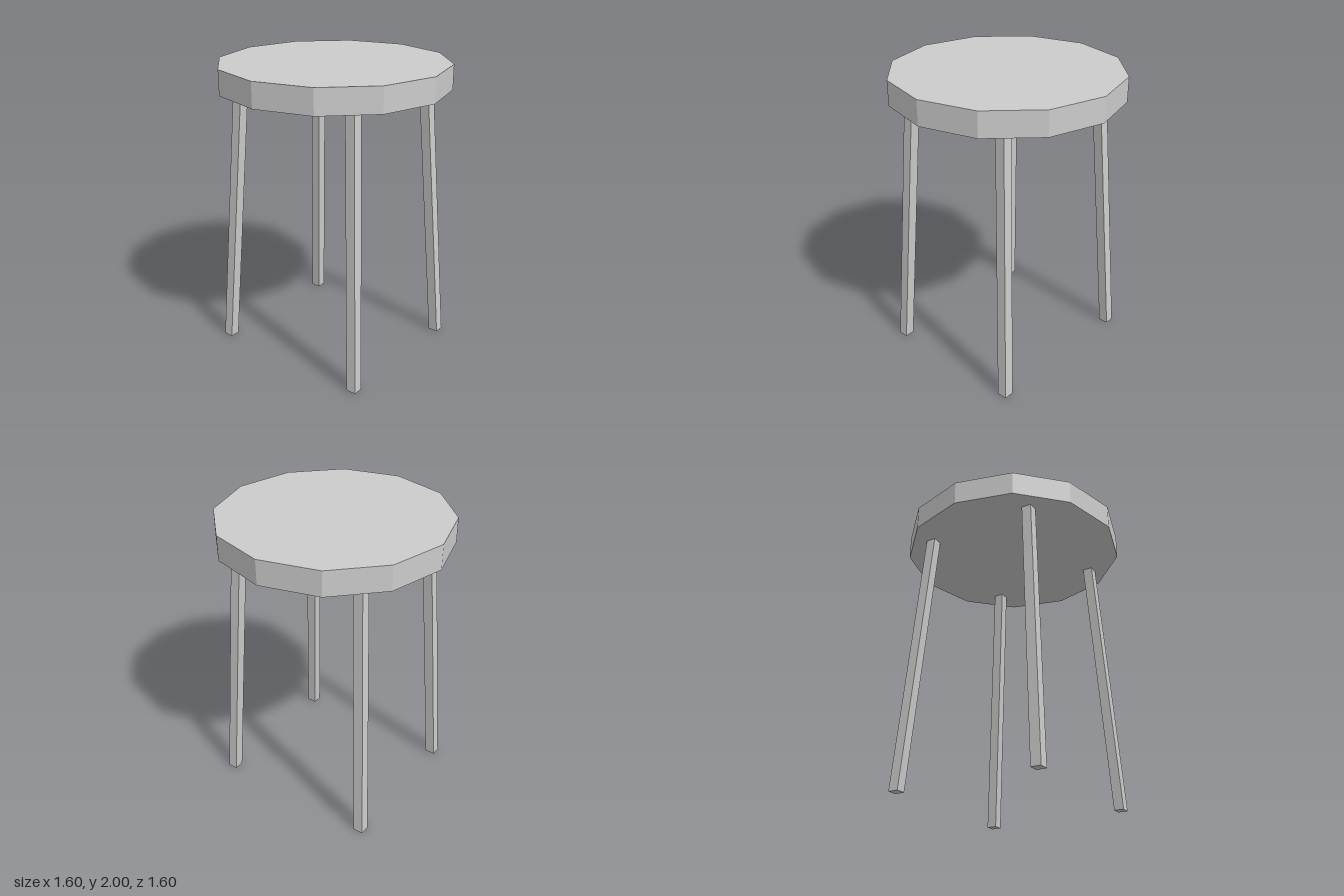
import * as THREE from 'three';

const SEAT_BOTTOM = 1.835;
const SEAT_TOP = 2;
const LEG_RADIUS = 0.048;

const material = new THREE.MeshStandardMaterial({ color: 0xcccccc, flatShading: true });

// Square leg standing on its corner, sheared so its foot and top stay level.
function createLeg(name, foot, top) {
  const geometry = new THREE.CylinderGeometry(LEG_RADIUS, LEG_RADIUS, SEAT_BOTTOM, 4);
  geometry.translate(0, SEAT_BOTTOM / 2, 0);
  const pos = geometry.attributes.position;
  for (let i = 0; i < pos.count; i++) {
    const t = pos.getY(i) / SEAT_BOTTOM;
    pos.setX(i, pos.getX(i) + THREE.MathUtils.lerp(foot[0], top[0], t));
    pos.setZ(i, pos.getZ(i) + THREE.MathUtils.lerp(foot[1], top[1], t));
  }
  geometry.computeVertexNormals();
  const leg = new THREE.Mesh(geometry, material);
  leg.name = name;
  return leg;
}

export function createModel() {
  const stool = new THREE.Group();
  stool.name = 'stool';

  // Twelve-sided seat slab
  const height = SEAT_TOP - SEAT_BOTTOM;
  const seatGeometry = new THREE.CylinderGeometry(0.765, 0.765, height, 12);
  seatGeometry.rotateY(THREE.MathUtils.degToRad(14.5));
  seatGeometry.translate(0, SEAT_BOTTOM + height / 2, 0);
  const seat = new THREE.Mesh(seatGeometry, material);
  seat.name = 'seat';
  stool.add(seat);

  // Splayed legs, each set slightly off the centre line: [x, z] at foot and top
  const legs = [
    ['leftLeg', [0.748, 0.055], [0.6, 0.055]],
    ['rightLeg', [-0.752, -0.058], [-0.606, -0.058]],
    ['frontLeg', [0.038, 0.75], [0.038, 0.606]],
    ['backLeg', [-0.043, -0.752], [-0.043, -0.602]],
  ];
  for (const [name, foot, top] of legs) stool.add(createLeg(name, foot, top));

  return stool;
}
